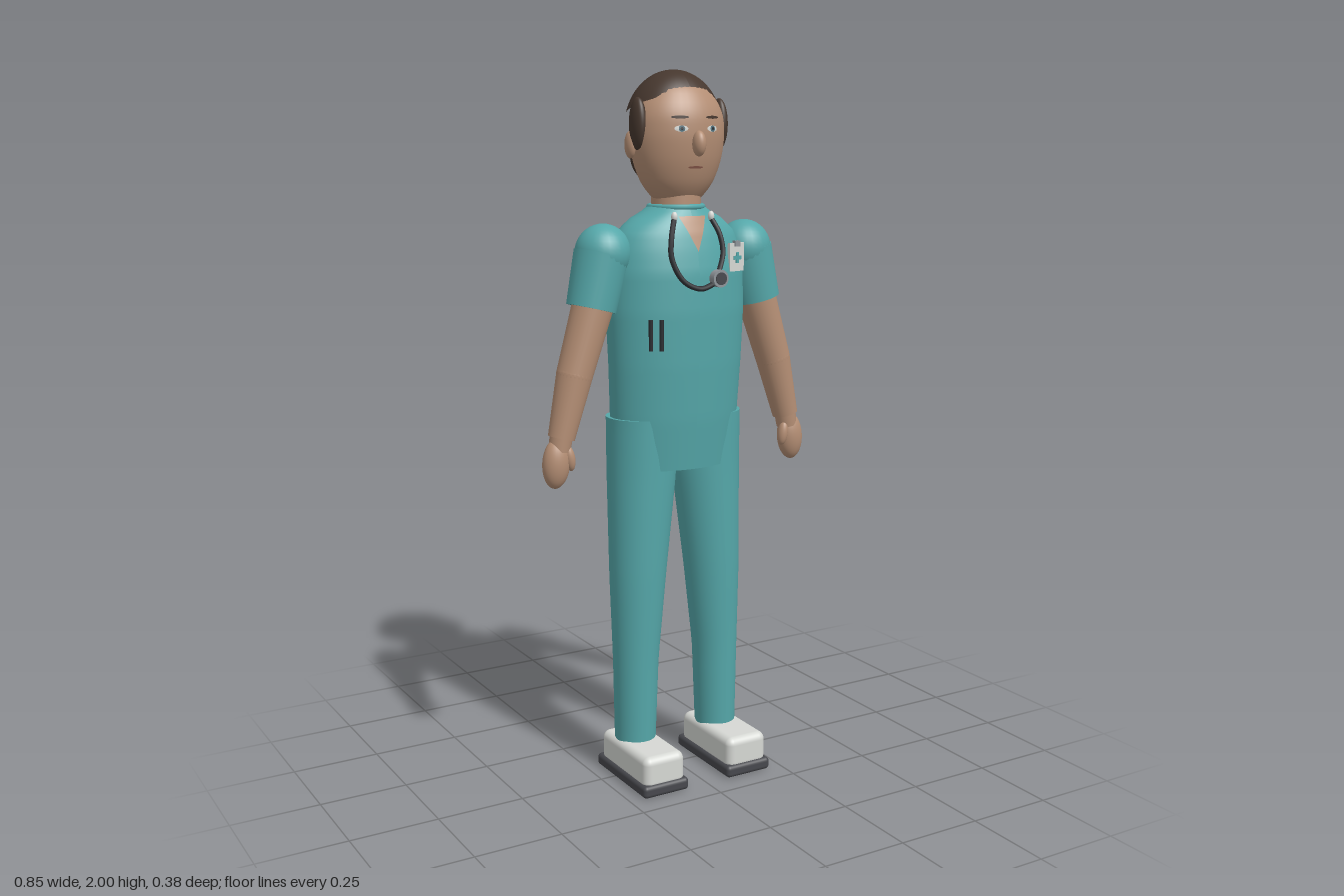
import * as THREE from 'three';
import { RoundedBoxGeometry } from 'three/addons/geometries/RoundedBoxGeometry.js';

const mat = (name, color, side = THREE.FrontSide) => {
  const m = new THREE.MeshStandardMaterial({ color, side });
  m.name = name;
  return m;
};

// Linear lookup in rows of [y, ...values] sorted by rising y
function lookup(rows, y) {
  let i = 0;
  while (i < rows.length - 2 && y > rows[i + 1][0]) i++;
  const a = rows[i], b = rows[i + 1];
  const t = THREE.MathUtils.clamp((y - a[0]) / (b[0] - a[0]), 0, 1);
  return a.map((v, k) => v + (b[k] - v) * t);
}

// Surface through a grid: fn(u, v) returns [x, y, z]; u runs rightwards, v upwards
function surface(nu, nv, fn) {
  const pos = [], idx = [];
  for (let j = 0; j <= nv; j++) for (let i = 0; i <= nu; i++) pos.push(...fn(i / nu, j / nv));
  for (let j = 0; j < nv; j++) for (let i = 0; i < nu; i++) {
    const a = j * (nu + 1) + i, b = a + 1, c = a + nu + 1, d = c + 1;
    idx.push(a, b, d, a, d, c);
  }
  const g = new THREE.BufferGeometry();
  g.setAttribute('position', new THREE.Float32BufferAttribute(pos, 3));
  g.setIndex(idx);
  g.computeVertexNormals();
  return g;
}

// Shirt rows: y, half width, front z, back z
const SHIRT = [[0.91, 0.185, 0.10, -0.14], [1.05, 0.195, 0.115, -0.138], [1.2, 0.202, 0.125, -0.134],
  [1.35, 0.209, 0.13, -0.138], [1.46, 0.206, 0.127, -0.136], [1.52, 0.196, 0.116, -0.126],
  [1.565, 0.178, 0.104, -0.112], [1.6, 0.14, 0.09, -0.096], [1.625, 0.09, 0.078, -0.082], [1.64, 0.074, 0.07, -0.072]];
const shirtZ = (x, y) => {
  const [, a, f, b] = lookup(SHIRT, y);
  return (f + b) / 2 + (f - b) / 2 * Math.sqrt(Math.max(0, 1 - (x / a) ** 2));
};

// Head rows: y, half width
const HEAD = [[1.652, 0.062], [1.665, 0.078], [1.7, 0.104], [1.75, 0.124], [1.8, 0.134], [1.84, 0.136],
  [1.88, 0.131], [1.92, 0.112], [1.96, 0.075], [1.985, 0.002]];
const HEAD_DEPTH = 0.82;
const faceZ = (x, y) => {
  const r = lookup(HEAD, y)[1];
  return 0.004 + HEAD_DEPTH * Math.sqrt(Math.max(0, r * r - x * x));
};

export function createModel() {
  const model = new THREE.Group();
  model.name = 'nurse';
  const M = {
    scrubs: mat('scrubs teal', 0x55a7a9, THREE.DoubleSide),
    skin: mat('skin', 0xb58f75),
    hair: mat('hair brown', 0x46372e),
    shoe: mat('shoe white', 0xd6d8d4),
    sole: mat('sole grey', 0x47484d),
    rubber: mat('rubber black', 0x2b2d31),
    metal: mat('metal grey', 0x8f9499),
    iris: mat('iris blue', 0x50707c),
    lips: mat('lips', 0x8a5a4c),
  };
  const add = (name, geo, m, x = 0, y = 0, z = 0) => {
    const mesh = new THREE.Mesh(geo, m);
    mesh.name = name;
    mesh.position.set(x, y, z);
    model.add(mesh);
    return mesh;
  };
  const ball = (name, m, p, r, seg = 28) => {
    const mesh = add(name, new THREE.SphereGeometry(1, seg, Math.round(seg * 0.7)), m, ...p);
    mesh.scale.set(...r);
    return mesh;
  };
  const limb = (name, m, a, b, ra, rb) => {
    const A = new THREE.Vector3(...a), B = new THREE.Vector3(...b);
    const mesh = add(name, new THREE.CylinderGeometry(rb, ra, A.distanceTo(B), 28), m);
    mesh.position.copy(A).lerp(B, 0.5);
    mesh.quaternion.setFromUnitVectors(new THREE.Vector3(0, 1, 0), B.sub(A).normalize());
    return mesh;
  };
  // Thin plate that follows a curved front
  const plate = (name, m, zAt, x, y, w, h, lift, round = false) => add(name, surface(10, 8, (u, v) => {
    const s = u * 2 - 1, t = v * 2 - 1;
    const px = x + s * w / 2 * (round ? Math.sqrt(1 - t * t * 0.98) : 1), py = y + t * h / 2;
    return [px, py, zAt(px, py) + lift];
  }), m);

  // Shirt with open hem
  add('shirt', surface(48, 40, (u, v) => {
    const y = 0.91 + 0.73 * v, [, a, f, b] = lookup(SHIRT, y), t = u * Math.PI * 2;
    return [a * Math.sin(t), y, (f + b) / 2 + (f - b) / 2 * Math.cos(t)];
  }), M.scrubs);
  add('neckOpening', surface(8, 12, (u, v) => {
    const y = 1.515 + 0.095 * v, x = (u * 2 - 1) * 0.042 * v;
    return [x, y, shirtZ(x, y) + 0.004];
  }), M.skin);
  const collar = add('collar', new THREE.TorusGeometry(0.074, 0.008, 8, 32), M.scrubs, 0, 1.633, -0.001);
  collar.rotation.x = Math.PI / 2;
  add('neck', new THREE.CylinderGeometry(0.068, 0.07, 0.12, 28), M.skin, 0, 1.63, 0);

  // Head
  const headCurve = new THREE.SplineCurve(HEAD.map(([y, r]) => new THREE.Vector2(r, y)));
  const profile = [new THREE.Vector2(0, 1.65), ...headCurve.getPoints(32)];
  add('head', new THREE.LatheGeometry(profile, 36), M.skin, 0, 0, 0.004).scale.z = HEAD_DEPTH;

  // Hair cap: the lower rim slopes down towards the back
  add('hairCap', surface(48, 16, (u, v) => {
    const t = u * Math.PI * 2, s = Math.sin(t), c = Math.cos(t);
    const low = 0.36 + 0.25 * c, phi = low + (Math.PI / 2 - low) * v;
    return [0.138 * Math.cos(phi) * s, 1.845 + 0.155 * Math.sin(phi), -0.014 + 0.122 * Math.cos(phi) * c];
  }), M.hair);
  ball('hairBun', M.hair, [0, 1.772, -0.122], [0.068, 0.079, 0.067]);

  // Face
  ball('nose', M.skin, [0, 1.803, 0.122], [0.018, 0.034, 0.022]);
  plate('mouth', M.lips, faceZ, 0, 1.74, 0.046, 0.007, 0.003, true);
  for (const s of [-1, 1]) {
    plate('eyeWhite', M.shoe, faceZ, s * 0.048, 1.842, 0.036, 0.017, 0.003, true);
    plate('iris', M.iris, faceZ, s * 0.048, 1.842, 0.017, 0.017, 0.005, true);
    plate('pupil', M.rubber, faceZ, s * 0.048, 1.842, 0.008, 0.008, 0.006, true);
    plate('eyebrow', M.hair, faceZ, s * 0.05, 1.872, 0.048, 0.008, 0.004, true);
    ball('ear', M.skin, [s * 0.137, 1.8, -0.01], [0.014, 0.037, 0.022]);
    ball('sideHair', M.hair, [s * 0.128, 1.855, 0.016], [0.02, 0.07, 0.034]);
  }

  // Arms, legs and shoes
  for (const s of [-1, 1]) {
    ball('shoulder', M.scrubs, [s * 0.226, 1.512, -0.005], [0.077, 0.08, 0.079]);
    limb('sleeve', M.scrubs, [s * 0.23, 1.51, -0.004], [s * 0.266, 1.365, 0], 0.077, 0.069);
    limb('upperArm', M.skin, [s * 0.255, 1.4, 0.004], [s * 0.323, 1.19, 0.008], 0.058, 0.05);
    ball('elbow', M.skin, [s * 0.323, 1.19, 0.008], [0.05, 0.05, 0.05]);
    limb('forearm', M.skin, [s * 0.323, 1.19, 0.008], [s * 0.367, 1.02, 0.011], 0.05, 0.037);
    limb('wrist', M.skin, [s * 0.366, 1.03, 0.011], [s * 0.374, 0.985, 0.011], 0.032, 0.03);
    ball('hand', M.skin, [s * 0.384, 0.952, 0.012], [0.039, 0.07, 0.033]).rotation.z = s * 0.08;
    ball('thumb', M.skin, [s * 0.35, 0.965, 0.026], [0.015, 0.036, 0.016]).rotation.z = -s * 0.15;

    // Trouser leg rows: y, centre x, centre z, half width, half depth
    const rows = [[0.1, 0.136, -0.003, 0.058, 0.063], [0.35, 0.133, -0.003, 0.065, 0.069],
      [0.6, 0.123, -0.007, 0.081, 0.083], [0.9, 0.105, -0.014, 0.1, 0.096], [1.055, 0.105, -0.014, 0.1, 0.1]];
    add('trouserLeg', surface(32, 20, (u, v) => {
      const y = 0.1 + 0.955 * v, [, cx, cz, rx, rz] = lookup(rows, y), t = u * Math.PI * 2;
      return [s * cx + rx * Math.sin(t), y, cz + rz * Math.cos(t)];
    }), M.scrubs);
    const waist = add('trouserTop', new THREE.CircleGeometry(0.1, 32), M.scrubs, s * 0.105, 1.055, -0.014);
    waist.rotation.x = -Math.PI / 2;

    add('sole', new RoundedBoxGeometry(0.146, 0.036, 0.29, 3, 0.012), M.sole, s * 0.1375, 0.018, 0.042);
    add('shoe', new RoundedBoxGeometry(0.13, 0.095, 0.268, 4, 0.022), M.shoe, s * 0.1375, 0.066, 0.044);
  }

  // Stethoscope
  const path = [[-0.058, 1.605], [-0.078, 1.55], [-0.083, 1.5], [-0.055, 1.44], [-0.005, 1.417], [0.045, 1.43]];
  const path2 = [[0.058, 1.605], [0.076, 1.56], [0.079, 1.51], [0.056, 1.455]];
  for (const p of [path, path2]) {
    const curve = new THREE.CatmullRomCurve3(p.map(([x, y]) => new THREE.Vector3(x, y, shirtZ(x, y) + 0.011)));
    add('stethoscopeTube', new THREE.TubeGeometry(curve, 40, 0.0075, 8), M.rubber);
    const [x, y] = p[0];
    ball('earTip', M.shoe, [x, y + 0.004, shirtZ(x, y) + 0.012], [0.009, 0.014, 0.009], 12);
  }
  const chest = add('chestPiece', new THREE.CylinderGeometry(0.024, 0.024, 0.022, 24), M.metal, 0.053, 1.443, 0.141);
  chest.rotation.x = Math.PI / 2;
  const disc = add('chestPieceFace', new THREE.CylinderGeometry(0.017, 0.017, 0.004, 24), M.sole, 0.053, 1.443, 0.153);
  disc.rotation.x = Math.PI / 2;

  // Badge
  const badge = new THREE.Group();
  badge.name = 'badge';
  badge.position.set(0.135, 1.495, shirtZ(0.135, 1.495) + 0.009);
  badge.rotation.y = 0.25;
  const piece = (name, w, h, d, m, y, z) => {
    const mesh = new THREE.Mesh(new THREE.BoxGeometry(w, h, d), m);
    mesh.name = name;
    mesh.position.set(0, y, z);
    badge.add(mesh);
  };
  piece('badgeCard', 0.056, 0.078, 0.009, M.shoe, 0, 0);
  piece('badgeClip', 0.02, 0.016, 0.012, M.metal, 0.037, 0.002);
  piece('badgeCrossUpright', 0.01, 0.03, 0.003, M.scrubs, -0.002, 0.006);
  piece('badgeCrossBar', 0.03, 0.01, 0.003, M.scrubs, -0.002, 0.006);
  model.add(badge);

  // Pocket with two pens
  plate('pocket', M.scrubs, shirtZ, -0.12, 1.235, 0.076, 0.104, 0.006);
  for (const x of [-0.138, -0.112]) {
    add('pen', new THREE.CylinderGeometry(0.006, 0.006, 0.085, 10), M.rubber, x, 1.294, shirtZ(x, 1.29) + 0.007);
  }
  return model;
}
